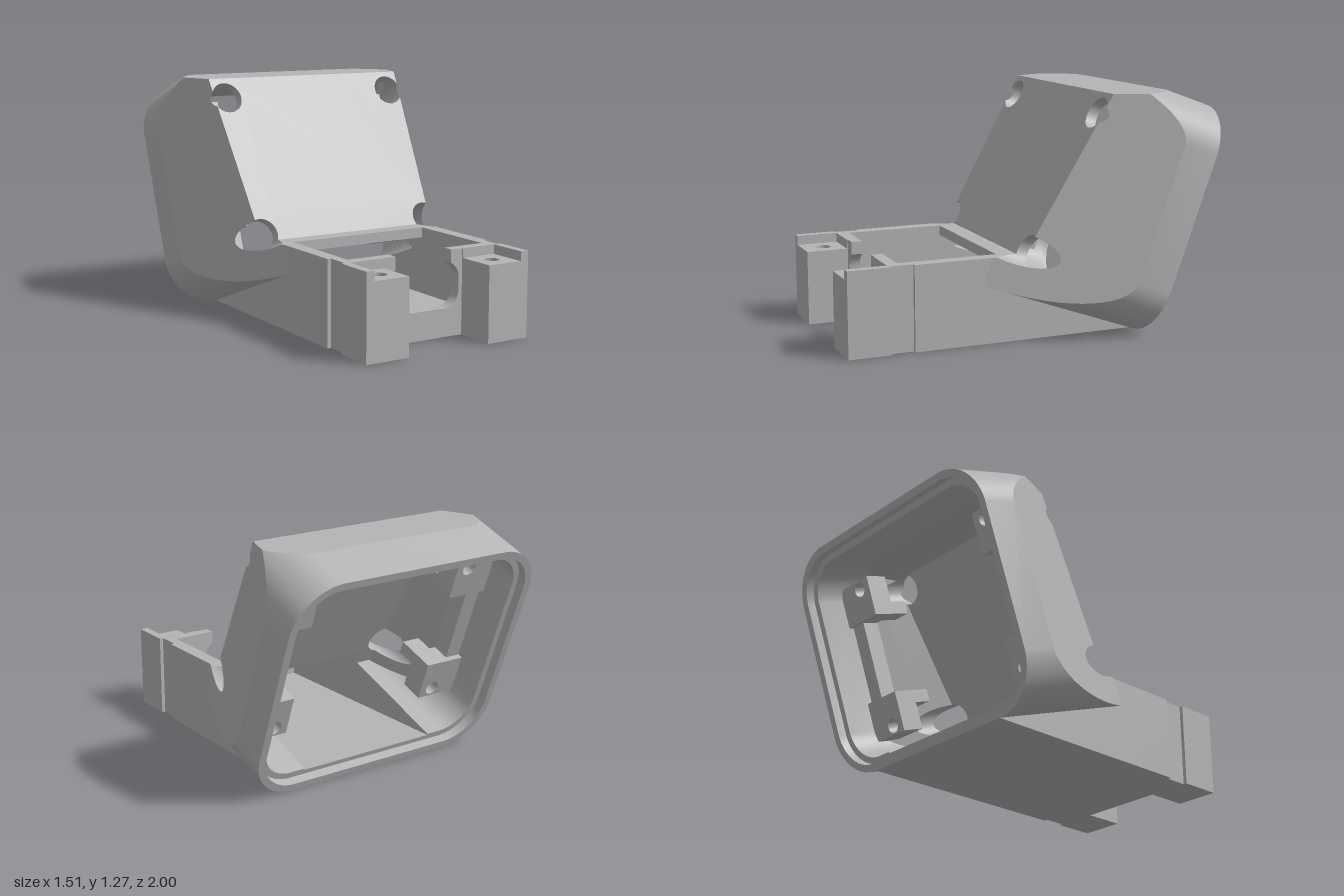
import * as THREE from 'three';
import { toCreasedNormals } from 'three/addons/utils/BufferGeometryUtils.js';

// Every solid and cutter is convex: a list of planes whose negative side is inside.
const EPS = 1e-5;
const WORLD = new THREE.Matrix4();
const UPRIGHT = new THREE.Matrix4().makeRotationX(-Math.PI / 2);
// Leaning frame of the hood: u = x, v up along the rear rim, w forward from the rim
const LEAN = new THREE.Matrix4().makeRotationX(-Math.PI / 9).setPosition(0, 0, -0.57);

function half(x, y, z, d, frame = WORLD) {
  return new THREE.Plane(new THREE.Vector3(x, y, z), -d).normalize().applyMatrix4(frame);
}

// Column along the frame's third axis: box (r = 0), cylinder or rounded rectangle
function column(cx, cy, hw, hh, r, sides, z0, z1, frame = WORLD) {
  const planes = [half(0, 0, -1, -z0, frame), half(0, 0, 1, z1, frame)];
  for (let i = 0; i < sides; i++) {
    const a = (i / sides) * Math.PI * 2, c = Math.cos(a), s = Math.sin(a);
    const d = c * cx + s * cy + Math.abs(c) * (hw - r) + Math.abs(s) * (hh - r) + r;
    planes.push(half(c, s, 0, d, frame));
  }
  return planes;
}

const box = (x0, x1, y0, y1, z0, z1, frame = WORLD) =>
  column((x0 + x1) / 2, (y0 + y1) / 2, (x1 - x0) / 2, (y1 - y0) / 2, 0, 4, z0, z1, frame);
const cylinder = (x, y, r, z0, z1, frame) => column(x, y, r, r, r, 32, z0, z1, frame);

// Split a polygon into the parts behind and in front of a plane
function split(poly, plane) {
  const d = poly.map((p) => plane.distanceToPoint(p));
  if (d.every((v) => Math.abs(v) <= EPS)) return [null, poly];
  const back = [], front = [];
  poly.forEach((p, i) => {
    const j = (i + 1) % poly.length;
    if (d[i] <= EPS) back.push(p);
    if (d[i] >= -EPS) front.push(p);
    if ((d[i] > EPS && d[j] < -EPS) || (d[i] < -EPS && d[j] > EPS)) {
      const m = p.clone().lerp(poly[j], d[i] / (d[i] - d[j]));
      back.push(m);
      front.push(m);
    }
  });
  return [
    back.length > 2 && d.some((v) => v < -EPS) ? back : null,
    front.length > 2 && d.some((v) => v > EPS) ? front : null,
  ];
}

function inside(poly, body) {
  for (const plane of body) {
    poly = split(poly, plane)[0];
    if (!poly) return [];
  }
  return [poly];
}

function outside(poly, body) {
  const pieces = [];
  let rest = poly;
  for (const plane of body) {
    const [back, front] = split(rest, plane);
    if (!back) return [poly];
    if (front) pieces.push(front);
    rest = back;
  }
  return pieces;
}

const removeAll = (polys, bodies) =>
  bodies.reduce((list, body) => list.flatMap((p) => outside(p, body)), polys);

// Faces of a convex body: a large square on each plane, trimmed by the others
function faces(body) {
  return body.flatMap((plane) => {
    const n = plane.normal;
    const t = new THREE.Vector3(1, 0, 0);
    if (Math.abs(n.x) > 0.7) t.set(0, 1, 0);
    t.cross(n).normalize();
    const b = n.clone().cross(t);
    const o = plane.coplanarPoint(new THREE.Vector3());
    const square = [[-5, -5], [5, -5], [5, 5], [-5, 5]].map(([i, j]) =>
      o.clone().addScaledVector(t, i).addScaledVector(b, j));
    return inside(square, body.filter((p) => p !== plane));
  });
}

// One mesh for each named solid, with all cutters taken away
function carve(solids, cuts, material) {
  const bodies = Object.values(solids);
  const cutFaces = cuts.flatMap((cut) =>
    removeAll(faces(cut), cuts.filter((c) => c !== cut)));
  return Object.entries(solids).map(([name, body], k) => {
    const skin = removeAll(faces(body), [...bodies.filter((b) => b !== body), ...cuts]);
    const walls = removeAll(cutFaces.flatMap((p) => inside(p, body)), bodies.slice(0, k));
    const pos = [];
    for (const p of [...skin, ...walls.map((w) => [...w].reverse())])
      for (let i = 1; i + 1 < p.length; i++)
        for (const v of [p[0], p[i], p[i + 1]]) pos.push(v.x, v.y, v.z);
    const geometry = new THREE.BufferGeometry();
    geometry.setAttribute('position', new THREE.Float32BufferAttribute(pos, 3));
    const mesh = new THREE.Mesh(toCreasedNormals(geometry, 0.3), material);
    mesh.name = name;
    return mesh;
  });
}

export function createModel() {
  const grey = new THREE.MeshStandardMaterial({ color: 0xb4b4b4 });
  grey.name = 'plain grey';
  const model = new THREE.Group();
  model.name = 'angledHousing';
  const sides = [-1, 1];
  const screwRows = [0.238, 1.018];

  // Rounded tube of the hood, shrunk by an offset, and its narrowing cheeks
  const tube = (off, w0, w1) =>
    column(0, 0.628, 0.755 - off, 0.628 - off, 0.265 - off, 64, w0, w1, LEAN);
  const cheeks = (off) => sides.map((s) => half(s, 0, 0.383, 0.8316 - off, LEAN));
  const slope = (off) => half(0, 0.47, 0.82, 0.2771 - off);

  const solids = {
    hood: [...tube(0, 0, 2), ...cheeks(0), slope(0), half(0, 1, 0, 1.27)],
    collar: [...tube(0, 0, 2), ...cheeks(0), half(0, 1, 0, 0.45)],
    arm: [...box(-0.485, 0.485, 0, 0.45, -1, 1), half(0, 0, -1, 0, LEAN)],
  };

  const cuts = [
    // Hollow of the hood and the stepped rim
    [...tube(0.075, -0.05, 2), ...cheeks(0.055), slope(0.057), half(0, 1, 0, 1.21)],
    tube(0.04, -0.1, 0.05),
    // Channel in the arm, passing under the cross bar into the hood
    box(-0.41, 0.41, 0.08, 0.6, 0.18, 0.715),
    box(-0.41, 0.41, 0.08, 0.395, 0.02, 0.2),
    box(-0.41, 0.41, 0.08, 0.325, -0.8, 0.1),
    // Gap between the legs, and the window with its open top
    box(-0.24, 0.24, -0.1, 0.6, 0.775, 1.1),
    column(0, 0.27, 0.22, 0.12, 0.09, 32, 0.7, 0.8),
    box(-0.17, 0.17, 0.37, 0.6, 0.7, 0.8),
  ];
  for (const s of sides) {
    // Sunken leg pads, their screw holes and the outer grooves
    cuts.push(box(s * 0.32 - 0.12, s * 0.32 + 0.12, 0.4, 0.6, 0.78, 1.1));
    cuts.push(cylinder(s * 0.34, -0.885, 0.04, 0.2, 0.6, UPRIGHT));
    cuts.push(box(s * 0.5 - 0.035, s * 0.5 + 0.035, -0.1, 0.6, 0.65, 0.775));
    // Wide screw wells in the sloping face
    for (const v of screwRows) cuts.push(cylinder(s * 0.52, v, 0.085, 0.35, 1.3, LEAN));
  }
  model.add(...carve(solids, cuts, grey));

  // Screw mounts inside the hood: pads, joining rails and small inner blocks
  const mounts = {}, screwHoles = [];
  for (const s of sides) {
    const side = s > 0 ? 'left' : 'right';
    const block = (u0, u1, v0, v1, w0, w1) =>
      box(Math.min(s * u0, s * u1), Math.max(s * u0, s * u1), v0, v1, w0, w1, LEAN);
    mounts[side + 'MountRail'] = block(0.59, 0.68, 0.3, 0.95, 0.25, 0.35);
    screwRows.forEach((v, i) => {
      const row = i ? 'Upper' : 'Lower', toMiddle = i ? -1 : 1;
      const span = (a, b) => [v + toMiddle * a, v + toMiddle * b].sort((p, q) => p - q);
      mounts[side + row + 'MountPad'] = block(0.44, 0.68, ...span(-0.05, 0.17), 0.22, 0.35);
      mounts[side + row + 'MountBlock'] = block(0.44, 0.55, ...span(0.1, 0.17), 0.22, 0.45);
      screwHoles.push(cylinder(s * 0.52, v, 0.04, 0, 1, LEAN));
    });
  }
  model.add(...carve(mounts, screwHoles, grey));
  return model;
}
